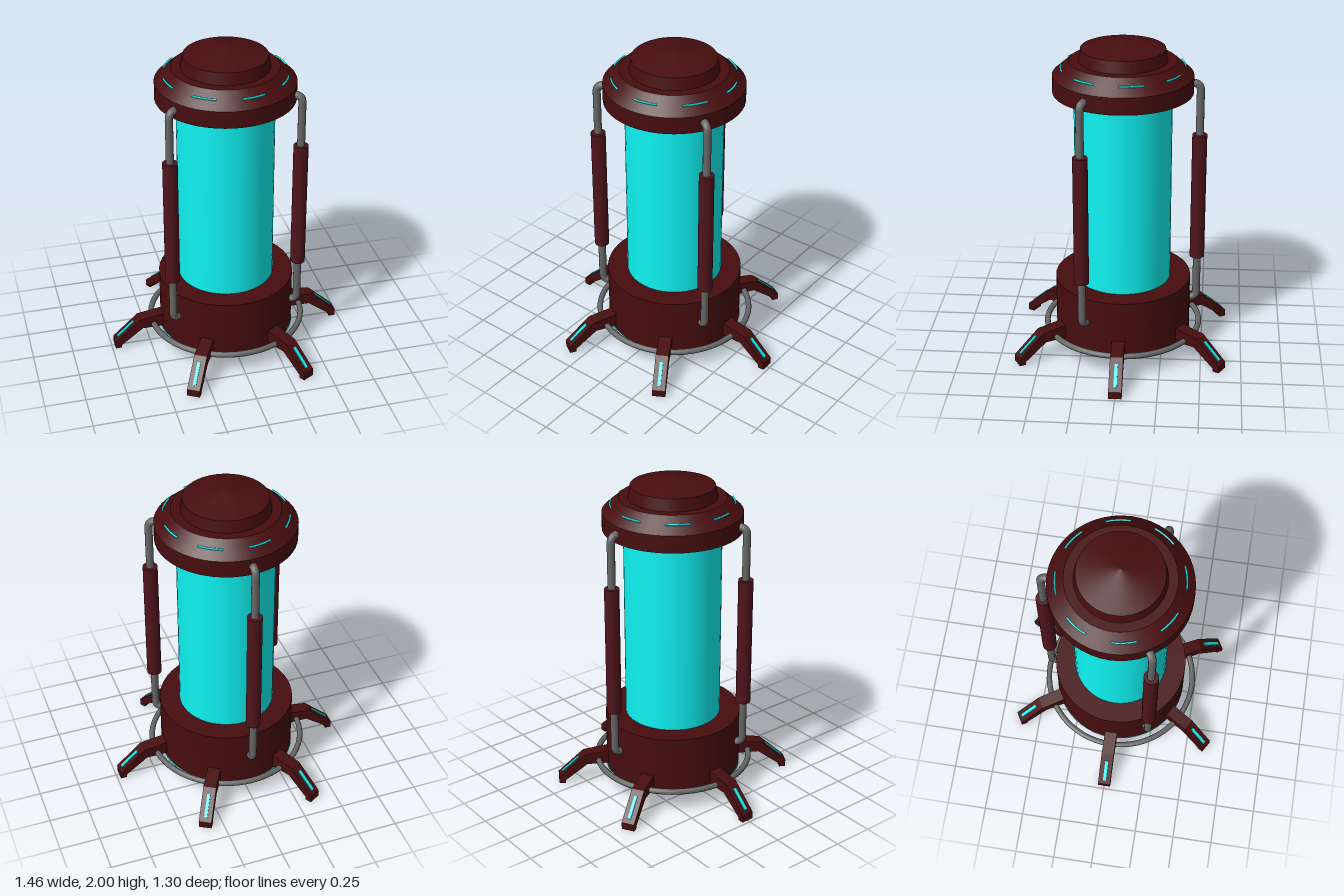
import * as THREE from 'three';

const mat = (color) => new THREE.MeshStandardMaterial({ color });
const V = (x, y, z = 0) => new THREE.Vector3(x, y, z);

export function createModel() {
  const model = new THREE.Group();
  const red = mat(0x470d0f), sleeveRed = mat(0x4f141b), cyan = mat(0x10f2f2), steel = mat(0x666666);

  const add = (parent, name, geometry, material, x = 0, y = 0, z = 0) => {
    const mesh = new THREE.Mesh(geometry, material);
    mesh.name = name;
    mesh.position.set(x, y, z);
    parent.add(mesh);
    return mesh;
  };
  const spoke = (name, angle) => {
    const group = new THREE.Group();
    group.name = name;
    group.rotation.y = angle;
    model.add(group);
    return group;
  };

  // Base drum, glowing rim under it and the glowing tank
  add(model, 'base', new THREE.CylinderGeometry(0.42, 0.42, 0.38, 48), red, 0, 0.28);
  add(model, 'baseGlowRim', new THREE.TorusGeometry(0.415, 0.008, 8, 48), cyan, 0, 0.098).rotation.x = Math.PI / 2;
  add(model, 'tank', new THREE.CylinderGeometry(0.295, 0.295, 1.23, 48), cyan, 0, 1.075);

  // Cap: each step of the profile is its own lathe band, so the edges stay sharp
  const cap = new THREE.Group();
  cap.name = 'cap';
  model.add(cap);
  const profile = [[0, 1.68], [0.42, 1.68], [0.42, 1.785], [0.32, 1.872], [0.265, 1.872], [0.252, 1.945], [0, 2]];
  for (let i = 0; i < profile.length - 1; i++) {
    const band = [profile[i], profile[i + 1]].map(([r, y]) => new THREE.Vector2(r, y));
    add(cap, 'capBand', new THREE.LatheGeometry(band, 48), red);
  }

  // Eight light dashes round the sloping shoulder of the cap
  for (let i = 0; i < 8; i++) {
    const dash = new THREE.TorusGeometry(0.37, 0.006, 6, 4, Math.PI / 8);
    dash.rotateX(-Math.PI / 2);
    add(model, 'capLight', dash, cyan, 0, 1.833).rotation.y = -Math.PI / 2 - Math.PI / 8 + (i * Math.PI) / 4 + Math.PI / 8;
  }

  // Six bent legs, each with a light strip on its slope
  const legShape = new THREE.Shape([
    [0.36, 0.125], [0.55, 0.125], [0.69, 0.02], [0.69, 0], [0.73, 0],
    [0.73, 0.045], [0.57, 0.19], [0.42, 0.213], [0.36, 0.213],
  ].map(([x, y]) => new THREE.Vector2(x, y)));
  const legGeometry = new THREE.ExtrudeGeometry(legShape, { depth: 0.08, bevelEnabled: false });
  legGeometry.translate(0, 0, -0.04);
  const slope = Math.atan2(-0.145, 0.16);
  for (let i = 0; i < 6; i++) {
    const leg = spoke('leg', (i * Math.PI) / 3);
    add(leg, 'legBody', legGeometry, red);
    add(leg, 'legLight', new THREE.BoxGeometry(0.145, 0.01, 0.02), cyan, 0.655, 0.114).rotation.z = slope;
  }

  // Ring that ties the legs together
  add(model, 'legRing', new THREE.TorusGeometry(0.48, 0.018, 12, 64), steel, 0, 0.145).rotation.x = Math.PI / 2;

  // Three bent side pipes with sleeves
  const r = 0.46, bend = 0.045, low = 0.31, high = 1.735;
  const path = new THREE.CurvePath();
  path.add(new THREE.LineCurve3(V(0.38, low), V(r - bend, low)));
  path.add(new THREE.QuadraticBezierCurve3(V(r - bend, low), V(r, low), V(r, low + bend)));
  path.add(new THREE.LineCurve3(V(r, low + bend), V(r, high - bend)));
  path.add(new THREE.QuadraticBezierCurve3(V(r, high - bend), V(r, high), V(r - bend, high)));
  path.add(new THREE.LineCurve3(V(r - bend, high), V(0.38, high)));
  const pipeGeometry = new THREE.TubeGeometry(path, 160, 0.024, 12);
  for (let i = 0; i < 3; i++) {
    const pipe = spoke('sidePipe', Math.PI / 2 + 0.02 + (i * Math.PI * 2) / 3);
    add(pipe, 'pipe', pipeGeometry, steel);
    add(pipe, 'pipeSleeve', new THREE.CylinderGeometry(0.045, 0.045, 0.81, 24), sleeveRed, r, 1.005);
  }
  return model;
}
